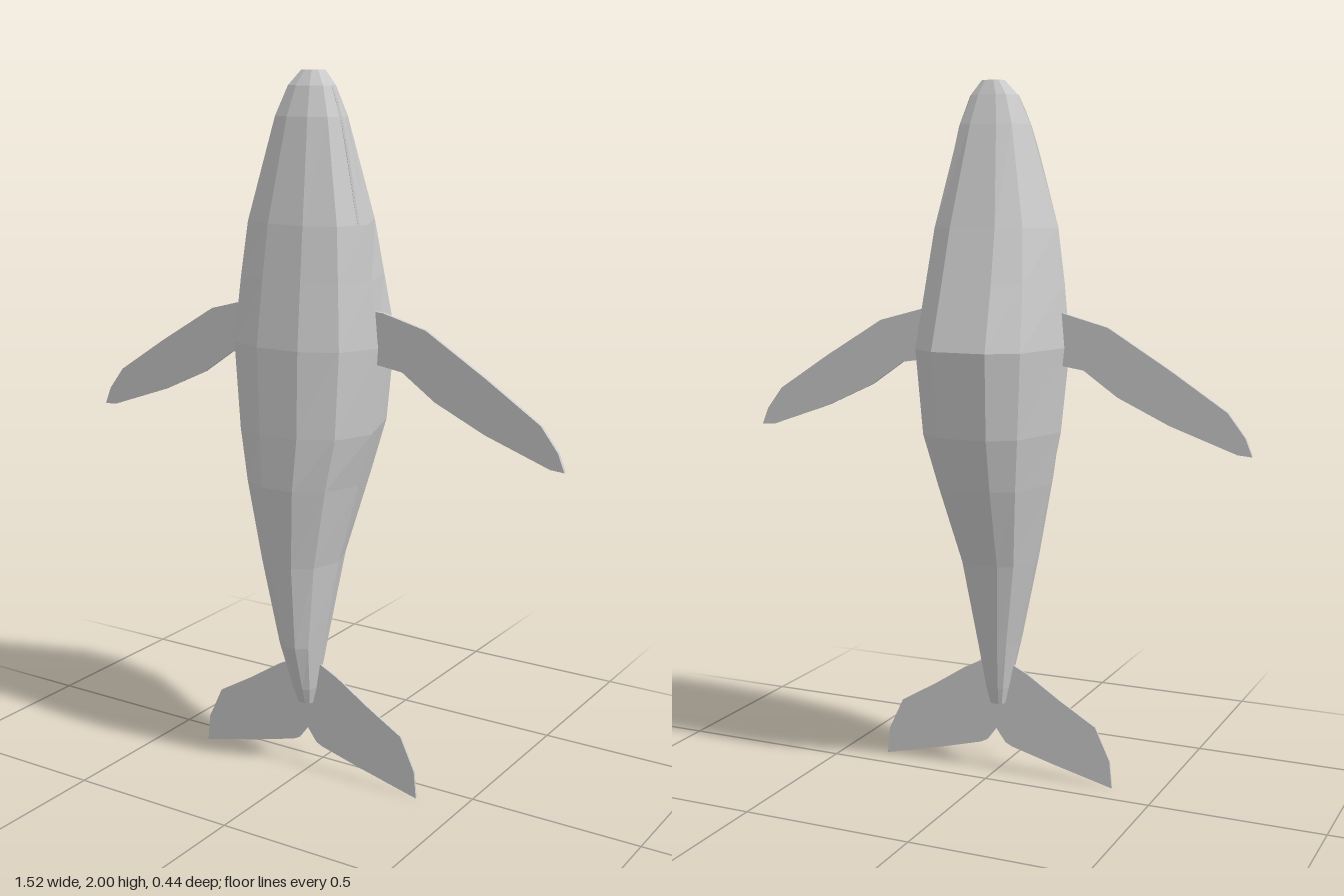
import * as THREE from 'three';

const material = new THREE.MeshStandardMaterial({ color: 0xcccccc, flatShading: true, side: THREE.DoubleSide });

// Body stations from tail to snout: y, centre x, half width, back z, middle z, belly z
const stations = [
  [0.21, -0.005, 0.025, 0.06, 0.08, 0.1],
  [0.26, -0.005, 0.037, 0.045, 0.08, 0.12],
  [0.4, -0.008, 0.062, 0.01, 0.08, 0.165],
  [0.65, -0.015, 0.112, -0.05, 0.07, 0.195],
  [0.88, -0.01, 0.165, -0.135, 0.06, 0.22],
  [1.03, -0.005, 0.2, -0.18, 0.06, 0.22],
  [1.27, -0.01, 0.22, -0.215, 0.06, 0.215],
  [1.45, -0.01, 0.203, -0.16, 0.06, 0.193],
  [1.6, -0.008, 0.185, -0.115, 0.06, 0.175],
  [1.88, -0.005, 0.108, -0.033, 0.05, 0.12],
  [1.96, -0.005, 0.072, -0.005, 0.045, 0.092],
  [2.0, -0.005, 0.035, 0.012, 0.04, 0.065],
];

// Ten-sided cross-section: x in half widths, z towards belly (+) or back (-)
const section = [
  [1, 0], [0.76, 0.7], [0.3, 1], [-0.3, 1], [-0.76, 0.75],
  [-1, 0], [-0.74, -0.8], [-0.38, -1], [0.34, -1], [0.68, -0.8],
];

function ringPoint([y, cx, w, back, mid, belly], [u, v]) {
  return new THREE.Vector3(cx + u * w, y, mid + v * (v > 0 ? belly - mid : mid - back));
}

function makeBody() {
  const points = [];
  const n = section.length;
  const rings = stations.map(s => section.map(p => ringPoint(s, p)));
  const top = rings.length - 1;
  for (let j = 0; j < n; j++) {
    const k = (j + 1) % n;
    for (let i = 0; i < top; i++) {
      const a = rings[i][j], b = rings[i][k], c = rings[i + 1][j], d = rings[i + 1][k];
      points.push(a, c, b, b, c, d);
    }
    // End caps
    if (j > 0 && j < n - 1) {
      points.push(rings[0][0], rings[0][j], rings[0][k]);
      points.push(rings[top][0], rings[top][k], rings[top][j]);
    }
  }
  const geometry = new THREE.BufferGeometry().setFromPoints(points);
  geometry.computeVertexNormals();
  return new THREE.Mesh(geometry, material);
}

// Thin flat fin from an outline, mirrored for side = -1
function makeFin(outline, side, z, thickness) {
  const shape = new THREE.Shape(outline.map(([x, y]) => new THREE.Vector2(x * side, y)));
  const geometry = new THREE.ExtrudeGeometry(shape, { depth: thickness, bevelEnabled: false });
  geometry.translate(0, 0, z - thickness / 2);
  return new THREE.Mesh(geometry, material);
}

const flipperOutline = [
  [0.15, 1.37], [0.22, 1.365], [0.35, 1.33], [0.53, 1.22], [0.69, 1.115], [0.74, 1.05],
  [0.76, 1.0], [0.72, 1.003], [0.53, 1.07], [0.38, 1.14], [0.28, 1.21], [0.15, 1.23],
];
const flukeOutline = [
  [0, 0.34], [0.04, 0.335], [0.1, 0.305], [0.2, 0.24], [0.31, 0.175], [0.355, 0.08],
  [0.363, 0], [0.18, 0.045], [0.05, 0.08], [0.03, 0.09], [0, 0.13],
];

export function createModel() {
  const model = new THREE.Group();
  model.name = 'whale';
  const add = (mesh, name) => { mesh.name = name; model.add(mesh); };

  add(makeBody(), 'body');
  for (const side of [1, -1]) {
    const label = side > 0 ? 'left' : 'right';
    add(makeFin(flipperOutline, side, 0.04, 0.01), label + 'Flipper');
    add(makeFin(flukeOutline, side, 0.08, 0.006), label + 'Fluke');

    // Mouth line along the side of the head
    const path = new THREE.CatmullRomCurve3(
      stations.slice(8, 11).map((s, i) => ringPoint(s, [side * 0.93, 0.2 - i * 0.02])));
    add(new THREE.Mesh(new THREE.TubeGeometry(path, 8, 0.004, 4), material), label + 'MouthLine');
  }
  return model;
}
